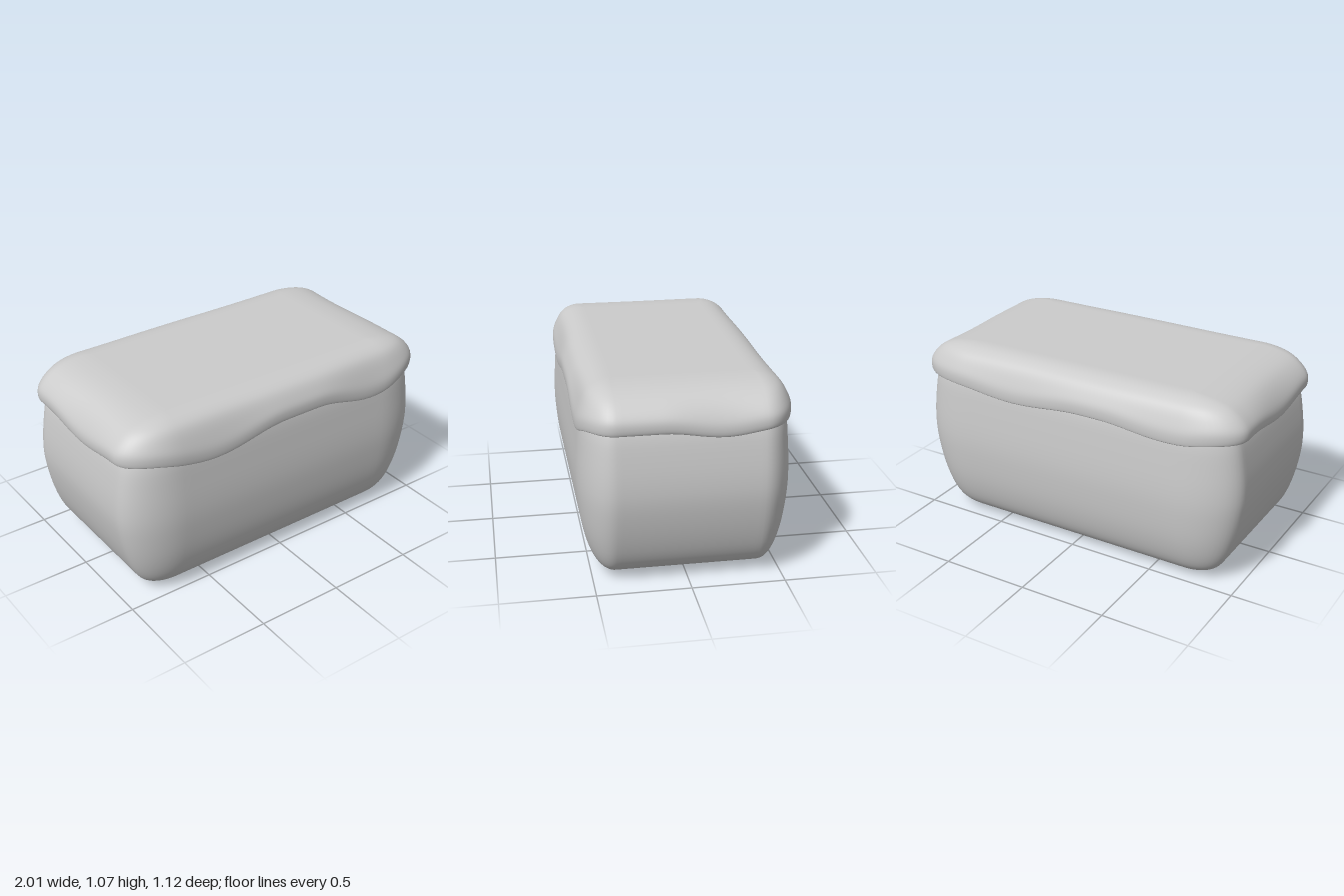
import * as THREE from 'three';

const CORE_X = 0.68, CORE_Z = 0.38; // flat inner rectangle; the corners round off outside it

// Perimeter samples: straight runs plus quarter-ellipse corners, as core signs and outward normals
function perimeter(arc = 12, run = 28) {
  const list = [];
  const signs = [[1, 1], [-1, 1], [-1, -1], [1, -1]];
  signs.forEach(([sx, sz], k) => {
    for (let i = 0; i <= arc; i++) {
      const t = (k + i / arc) * Math.PI / 2;
      list.push({ cx: sx, cz: sz, nx: Math.cos(t), nz: Math.sin(t) });
    }
    const [ex, ez] = signs[(k + 1) % 4], t = (k + 1) * Math.PI / 2;
    for (let i = 1; i < run; i++) {
      const f = i / run;
      list.push({ cx: sx + (ex - sx) * f, cz: sz + (ez - sz) * f, nx: Math.cos(t), nz: Math.sin(t) });
    }
  });
  return list;
}

// Stack rounded-rectangle rings along a profile of [half width, half depth, height]
function loft(name, profile, steps, drop = () => 0) {
  const curve = new THREE.CatmullRomCurve3(profile.map(p => new THREE.Vector3(...p)), false, 'centripetal');
  const rings = [];
  for (let i = 0; i <= steps * (profile.length - 1); i++) {
    rings.push(curve.getPoint(i / (steps * (profile.length - 1))));
  }
  const around = perimeter(), n = around.length, pos = [], index = [];
  rings.forEach(({ x: hx, y: hz, z: y }) => {
    const cx = Math.min(CORE_X, hx), cz = Math.min(CORE_Z, hz);
    around.forEach(p => pos.push(
      p.cx * cx + p.nx * (hx - cx), y - drop(p, y), p.cz * cz + p.nz * (hz - cz)));
  });
  for (let i = 0; i < rings.length - 1; i++) {
    for (let j = 0; j < n; j++) {
      const a = i * n + j, b = i * n + (j + 1) % n;
      index.push(a, a + n, b, b, a + n, b + n);
    }
  }
  // Flat end caps
  const caps = [[0, 1], [rings.length - 1, -1]];
  caps.forEach(([r, dir]) => {
    const c = pos.length / 3;
    pos.push(0, rings[r].z, 0);
    for (let j = 0; j < n; j++) {
      const a = r * n + j, b = r * n + (j + 1) % n;
      if (dir > 0) index.push(c, a, b); else index.push(c, b, a);
    }
  });
  const geo = new THREE.BufferGeometry();
  geo.setAttribute('position', new THREE.Float32BufferAttribute(pos, 3));
  geo.setIndex(index);
  geo.computeVertexNormals();
  const mesh = new THREE.Mesh(geo, new THREE.MeshStandardMaterial({ color: 0xcccccc }));
  mesh.name = name;
  return mesh;
}

// Sagging bumps of the lid edge on each side: [centre, half width, depth]
const SAGS = {
  front: [[-0.47, 0.46, 0.065], [0.6, 0.4, 0.067]],
  back: [[0.35, 0.45, 0.035], [-0.6, 0.4, 0.03]],
  left: [[-0.17, 0.32, 0.035]],
  right: [[0.05, 0.36, 0.038]],
};
const sag = (side, s) => SAGS[side].reduce((sum, [c, w, d]) => {
  const u = (s - c) / w;
  return sum + (Math.abs(u) < 1 ? d * Math.cos(u * Math.PI / 2) ** 2 : 0);
}, 0);

// Sag is full at the rim and fades to nothing on the flat top
function lidDrop(p, y) {
  const x = p.cx * CORE_X + p.nx * (1 - CORE_X), z = p.cz * CORE_Z + p.nz * (0.56 - CORE_Z);
  const amount = p.nz ** 2 * sag(p.nz > 0 ? 'front' : 'back', x)
    + p.nx ** 2 * sag(p.nx > 0 ? 'left' : 'right', z);
  return amount * (1 - THREE.MathUtils.smoothstep(y, 0.9, 1.07));
}

export function createModel() {
  const group = new THREE.Group();
  group.name = 'softBox';

  // Bulging body
  group.add(loft('body', [
    [0.5, 0.25, 0], [0.68, 0.36, 0.002], [0.78, 0.42, 0.026], [0.86, 0.47, 0.07], [0.91, 0.505, 0.14],
    [0.955, 0.537, 0.26], [0.99, 0.557, 0.42], [1, 0.562, 0.54], [0.987, 0.555, 0.7],
    [0.95, 0.538, 0.87], [0.92, 0.52, 0.9], [0.85, 0.47, 0.93], [0.6, 0.32, 0.94],
  ], 4));

  // Overhanging lid with a wavy rim
  group.add(loft('lid', [
    [0.9, 0.51, 0.88], [0.95, 0.535, 0.867], [0.985, 0.553, 0.864], [0.998, 0.559, 0.872], [1, 0.56, 0.925],
    [0.97, 0.54, 0.975], [0.91, 0.507, 1.024], [0.83, 0.46, 1.053], [0.72, 0.4, 1.068], [0.6, 0.32, 1.07],
  ], 4, lidDrop));
  return group;
}
